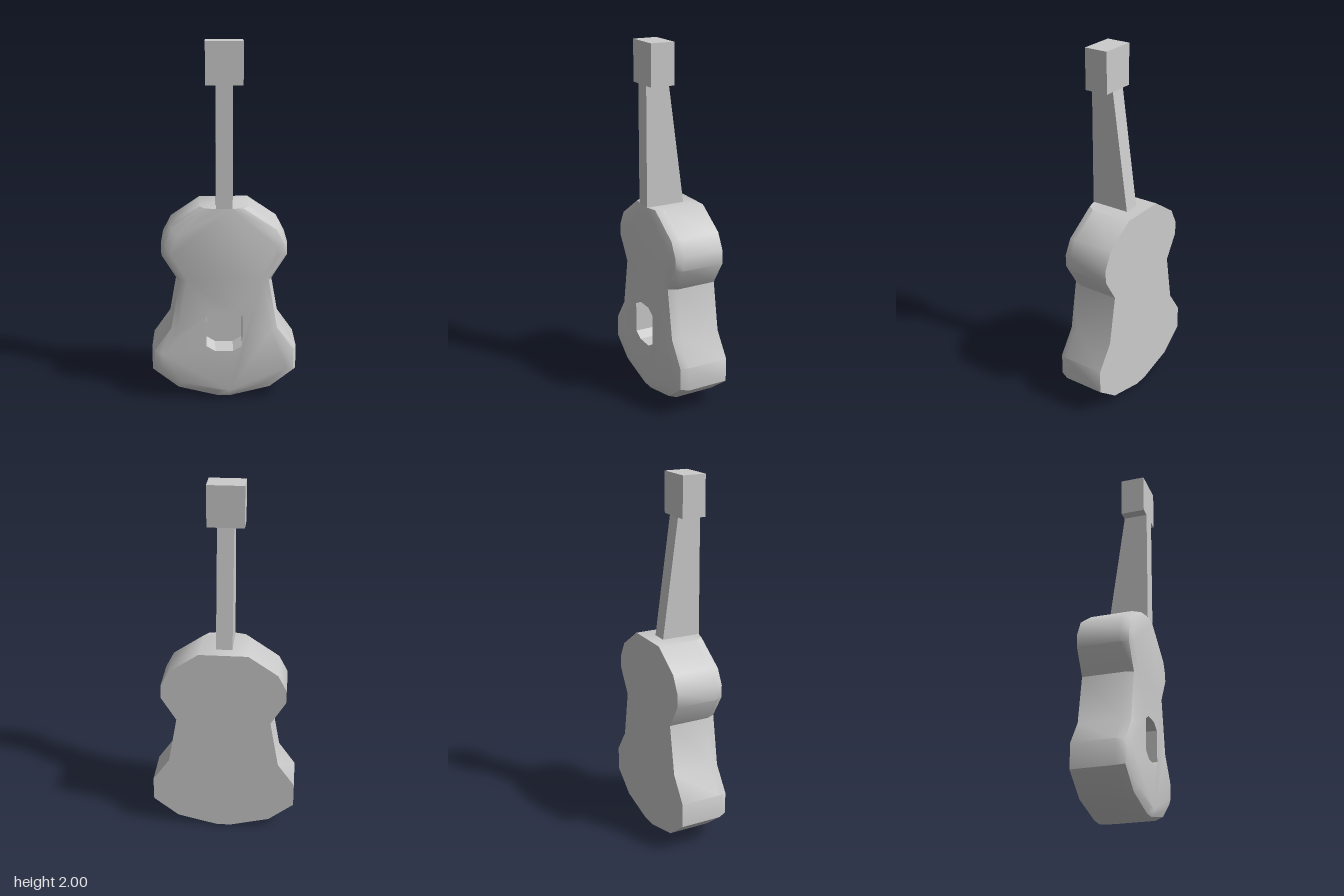
import * as THREE from 'three';
import { mergeGeometries, toCreasedNormals } from 'three/addons/utils/BufferGeometryUtils.js';

const FRONT = 0.148, BACK = -0.148, TOP = 1.115, HOLE_FLOOR = 0.005;

// Right half of the body outline, bottom to top
const HALF = [
  [0.04, 0], [0.265, 0.055], [0.405, 0.165], [0.405, 0.3], [0.31, 0.435],
  [0.262, 0.705], [0.345, 0.84], [0.345, 0.915], [0.298, 1.005], [0.135, TOP],
];
const HOLE_HALF = [[0.05, 0.295], [0.1, 0.325], [0.1, 0.5], [0.05, 0.53]];

// Full counter-clockwise loop from its right half
const mirrorLoop = (half) =>
  [...half, ...half.map(([x, y]) => [-x, y]).reverse()].map(([x, y]) => new THREE.Vector2(x, y));

// Moves every edge inward by d, except the flat top where the neck joins
function inset(loop, d) {
  const n = loop.length;
  const edges = loop.map((p, i) => {
    const q = loop[(i + 1) % n];
    const dir = q.clone().sub(p).normalize();
    const normal = new THREE.Vector2(-dir.y, dir.x);
    const isTop = p.y === TOP && q.y === TOP;
    return { dir, start: p.clone().addScaledVector(normal, isTop ? 0 : d) };
  });
  return edges.map((b, i) => {
    const a = edges[(i + n - 1) % n];
    const t = b.start.clone().sub(a.start).cross(b.dir) / a.dir.cross(b.dir);
    return a.start.clone().addScaledVector(a.dir, t);
  });
}

// Wall through a series of matching { loop, z } rings
function loft(rings) {
  const pos = [];
  for (let r = 0; r < rings.length - 1; r++) {
    const a = rings[r], b = rings[r + 1], n = a.loop.length;
    for (let i = 0; i < n; i++) {
      const j = (i + 1) % n;
      const p = [a.loop[i], a.loop[j], b.loop[j], b.loop[i]];
      const z = [a.z, a.z, b.z, b.z];
      for (const k of [0, 1, 2, 0, 2, 3]) pos.push(p[k].x, p[k].y, z[k]);
    }
  }
  const geo = new THREE.BufferGeometry();
  geo.setAttribute('position', new THREE.Float32BufferAttribute(pos, 3));
  return geo;
}

// Flat face at z, optionally pierced or facing backward
function cap(loop, z, hole, backward) {
  const shape = new THREE.Shape(loop);
  if (hole) shape.holes.push(new THREE.Path(hole));
  const geo = new THREE.ShapeGeometry(shape).toNonIndexed();
  if (backward) geo.rotateY(Math.PI);
  geo.translate(0, 0, z);
  geo.deleteAttribute('uv');
  geo.deleteAttribute('normal');
  return geo;
}

export function createModel() {
  const group = new THREE.Group();
  group.name = 'guitar';
  const material = new THREE.MeshStandardMaterial({ color: 0xcccccc });
  const add = (name, geometry) => {
    const mesh = new THREE.Mesh(geometry, material);
    mesh.name = name;
    group.add(mesh);
    return mesh;
  };

  // Body: flat back, straight sides, two-step rounded front edge
  const outline = mirrorLoop(HALF);
  const hole = mirrorLoop(HOLE_HALF);
  const face = inset(outline, 0.055);
  const body = mergeGeometries([
    cap(outline, BACK, null, true),
    loft([
      { loop: outline, z: BACK },
      { loop: outline, z: 0.085 },
      { loop: inset(outline, 0.017), z: 0.13 },
      { loop: face, z: FRONT },
    ]),
    cap(face, FRONT, hole),
  ]);
  add('body', toCreasedNormals(body, 0.62));

  // Sound hole: recessed walls and floor
  const recess = mergeGeometries([
    loft([{ loop: hole, z: FRONT }, { loop: hole, z: HOLE_FLOOR }].reverse().map(
      ({ loop, z }) => ({ loop: [...loop].reverse(), z }))),
    cap(hole, HOLE_FLOOR),
  ]);
  add('soundHole', toCreasedNormals(recess, 0.3));

  // Neck: side profile tapering toward the head, extruded across x
  const profile = new THREE.Shape([
    new THREE.Vector2(-FRONT, TOP), new THREE.Vector2(0.075, TOP),
    new THREE.Vector2(-0.015, 1.775), new THREE.Vector2(-FRONT, 1.775),
  ]);
  const neck = new THREE.ExtrudeGeometry(profile, { depth: 0.09, bevelEnabled: false });
  neck.translate(0, 0, -0.045).rotateY(Math.PI / 2);
  add('neck', neck);

  // Head block
  const head = new THREE.BoxGeometry(0.2, 0.225, 0.135);
  add('head', head).position.set(0, 1.8875, FRONT - 0.0675);

  return group;
}
